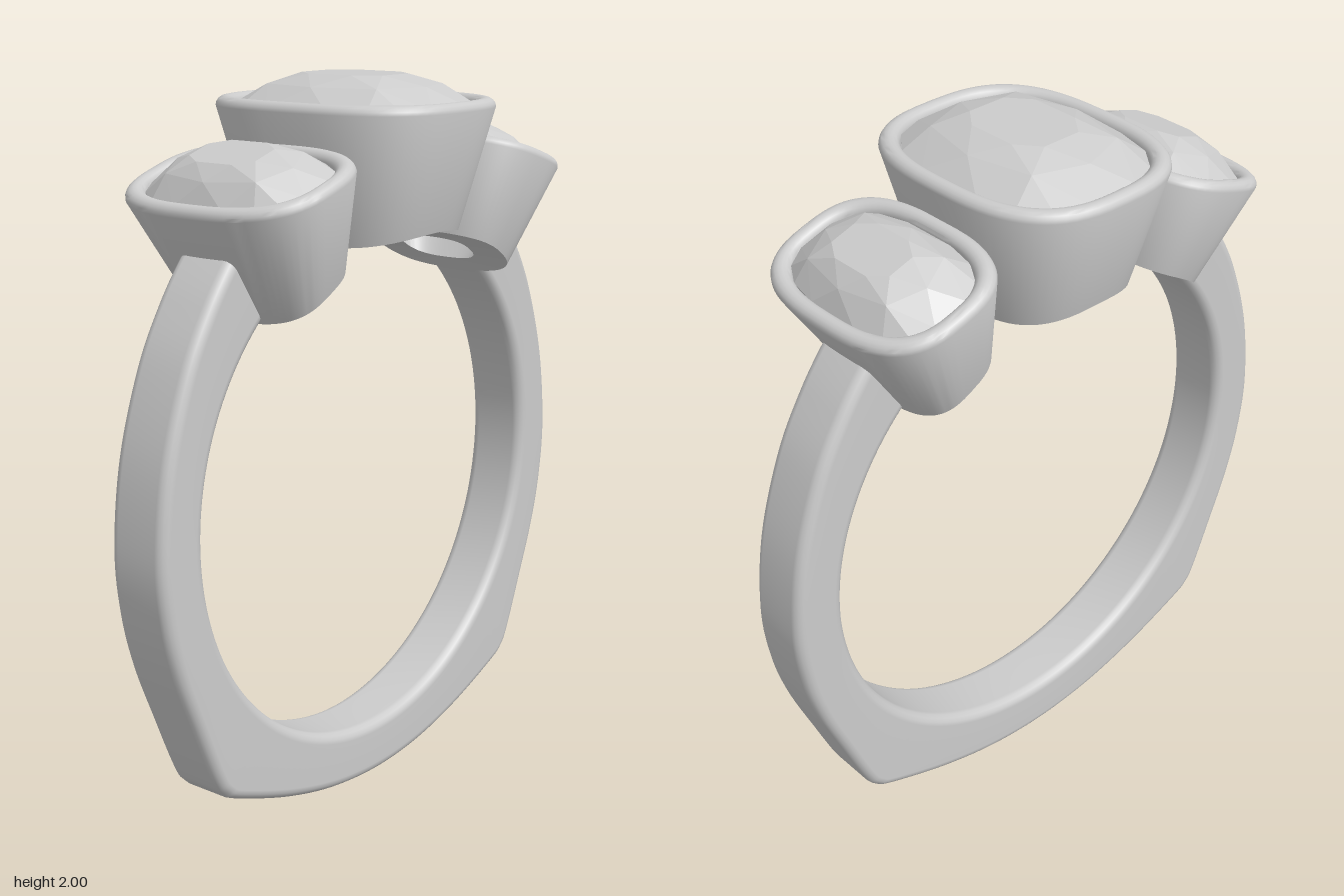
import * as THREE from 'three';
import { toCreasedNormals } from 'three/addons/utils/BufferGeometryUtils.js';
import { ConvexGeometry } from 'three/addons/geometries/ConvexGeometry.js';

const CY = 0.88, R = 0.72; // finger hole: centre height and radius
const smooth = new THREE.MeshStandardMaterial({ color: 0xcccccc, side: THREE.DoubleSide });
const faceted = new THREE.MeshStandardMaterial({ color: 0xcccccc, flatShading: true });

// Skin a list of equal-length rings of Vector3; each ring is closed.
function skin(rings, flip = false) {
  const n = rings[0].length, index = [];
  for (let i = 0; i < rings.length - 1; i++) {
    for (let j = 0; j < n; j++) {
      const k = (j + 1) % n;
      const a = i * n + j, b = i * n + k, c = a + n, d = b + n;
      if (flip) index.push(a, b, c, b, d, c);
      else index.push(a, c, b, b, c, d);
    }
  }
  const g = new THREE.BufferGeometry().setFromPoints(rings.flat());
  g.setIndex(index);
  g.computeVertexNormals();
  return g;
}

// Cushion outline (superellipse) at height h.
function cushion(t, a, b, h) {
  const p = 2 / 2.8, c = Math.cos(t), s = Math.sin(t);
  return new THREE.Vector3(
    a * Math.sign(c) * Math.abs(c) ** p, h, b * Math.sign(s) * Math.abs(s) ** p);
}

function ringOf(n, fn) {
  return Array.from({ length: n }, (_, i) => fn((i / n) * Math.PI * 2));
}

// Band: round inside, with a cornered foot and thicker shoulders outside.
function makeBand() {
  const half = [[0.57, 1.61], [0.6, 1.585], [0.68, 1.48], [0.765, 1.33], [0.84, 1.11], [0.87, 0.88],
    [0.855, 0.7], [0.815, 0.545], [0.75, 0.38], [0.685, 0.225], [0.652, 0.175], [0.6, 0.143],
    [0.4, 0.067], [0.2, 0.017]];
  const pts = [...half, [0, 0], ...half.map(([x, y]) => [-x, y]).reverse()];
  const outer = new THREE.SplineCurve(pts.map(p => new THREE.Vector2(...p))).getPoints(224);
  const w = 0.092, r = 0.03;
  const rings = outer.map(p => {
    const d = new THREE.Vector2(p.x, p.y - CY), ro = d.length();
    d.normalize();
    const ring = [];
    // rounded rectangle from the four corner arcs
    [[ro - r, w - r], [R + r, w - r], [R + r, r - w], [ro - r, r - w]].forEach(([cr, cz], q) => {
      for (let k = 0; k <= 4; k++) {
        const t = (q + k / 4) * Math.PI / 2;
        const rad = cr + r * Math.cos(t), z = cz + r * Math.sin(t);
        ring.push(new THREE.Vector3(d.x * rad, CY + d.y * rad, z));
      }
    });
    return ring;
  });
  const band = new THREE.Mesh(skin(rings), smooth);
  band.name = 'band';
  return band;
}

// Tapered bezel cup with a rounded lip, cut underneath by the finger hole, plus its gem.
function makeSetting({ name, x, y, tilt, top, low, depth }) {
  const place = new THREE.Matrix4().makeRotationZ(-tilt).setPosition(x, y, 0);
  const lip = 0.025, N = 64;
  const at = (off, h) => ringOf(N, t => cushion(t, top[0] - off, top[1] - off, h).applyMatrix4(place));

  // follow the wall down to where it meets the finger hole
  const cut = s => ringOf(N, t => {
    const a = cushion(t, top[0] * s, top[1] * s, -lip).applyMatrix4(place);
    const b = cushion(t, low[0] * s, low[1] * s, -depth).applyMatrix4(place);
    let lo = 0, hi = 1.6;
    for (let i = 0; i < 30; i++) {
      const m = (lo + hi) / 2, p = a.clone().lerp(b, m);
      if (Math.hypot(p.x, p.y - CY) > R) lo = m; else hi = m;
    }
    return a.lerp(b, lo);
  });

  const rings = [cut(0.52), cut(0.76), cut(1)];
  for (let k = 0; k <= 8; k++) {
    const t = k / 8 * Math.PI;
    rings.push(at(lip - lip * Math.cos(t), -lip + lip * Math.sin(t)));
  }
  rings.push(at(2 * lip, -0.06), cut(0.52));
  const bezel = new THREE.Mesh(toCreasedNormals(skin(rings), 0.6), smooth);
  bezel.name = 'bezel';

  // cushion-cut gem: table, crown, girdle, pavilion, culet
  const ga = top[0] - 0.048, gb = top[1] - 0.048, pts = [];
  const layer = (n, s, h, turn) => pts.push(...ringOf(n, t => cushion(t + turn, ga * s, gb * s, h)));
  layer(8, 0.45, 0.06, Math.PI / 8);
  layer(8, 0.74, 0.032, 0);
  layer(16, 1, -0.02, Math.PI / 16);
  layer(16, 1, -0.035, Math.PI / 16);
  layer(8, 0.62, -0.15, 0);
  layer(4, 0.12, -depth * 0.72, Math.PI / 4);
  const gem = new THREE.Mesh(new ConvexGeometry(pts).applyMatrix4(place), faceted);
  gem.name = 'gem';

  const g = new THREE.Group();
  g.name = name;
  g.add(bezel, gem);
  return g;
}

export function createModel() {
  const ring = new THREE.Group();
  ring.name = 'threeStoneRing';
  ring.add(makeBand());
  ring.add(makeSetting({ name: 'centerSetting', x: 0, y: 1.94, tilt: 0,
    top: [0.3, 0.365], low: [0.225, 0.278], depth: 0.34 }));
  for (const [name, s] of [['leftSetting', 1], ['rightSetting', -1]]) {
    ring.add(makeSetting({ name, x: 0.475 * s, y: 1.775, tilt: 0.31 * s,
      top: [0.212, 0.305], low: [0.128, 0.215], depth: 0.34 }));
  }
  return ring;
}
